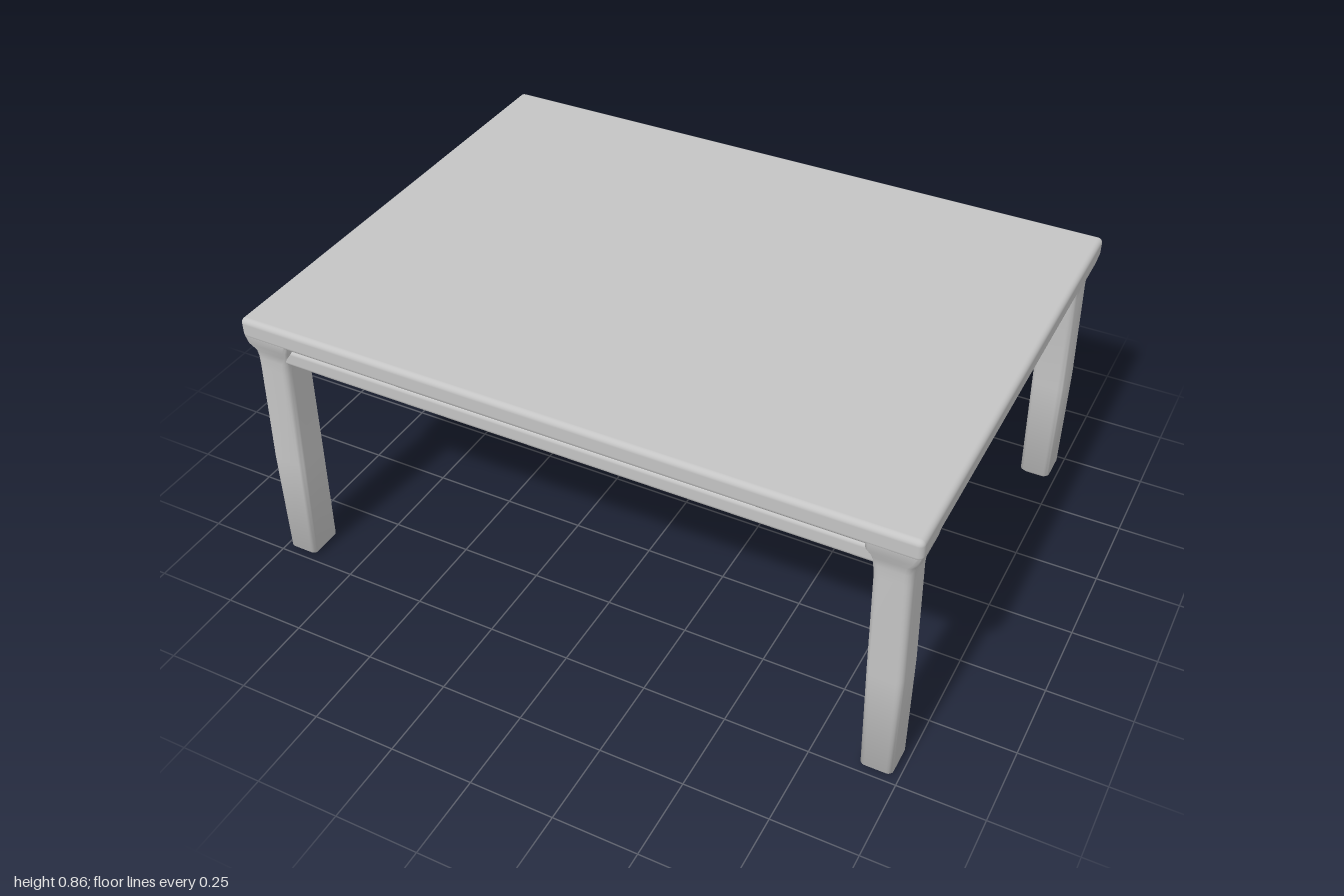
import * as THREE from 'three';
import { toCreasedNormals } from 'three/addons/utils/BufferGeometryUtils.js';
import { RoundedBoxGeometry } from 'three/addons/geometries/RoundedBoxGeometry.js';

// Leg sections for the +x +z corner: [y, inner x, outer x, inner z, outer z, corner radius]
const LEG = [
  [0, 0.898, 0.972, 0.632, 0.724, 0.012],
  [0.012, 0.888, 0.981, 0.622, 0.734, 0.016],
  [0.36, 0.88, 0.983, 0.621, 0.734, 0.018],
  [0.69, 0.873, 0.976, 0.62, 0.73, 0.02],
  [0.725, 0.868, 0.976, 0.614, 0.73, 0.02],
  [0.75, 0.86, 0.98, 0.605, 0.732, 0.02],
  [0.775, 0.85, 0.994, 0.595, 0.742, 0.018],
  [0.80, 0.85, 0.998, 0.595, 0.744, 0.012],
];

// Rounded rectangle ring at height y
function ring(y, x0, x1, z0, z1, r, sx, sz) {
  const points = [], steps = 4;
  const cx = sx * (x0 + x1) / 2, cz = sz * (z0 + z1) / 2;
  const hx = (x1 - x0) / 2 - r, hz = (z1 - z0) / 2 - r;
  const corners = [[1, 1], [-1, 1], [-1, -1], [1, -1]];
  corners.forEach(([kx, kz], c) => {
    for (let i = 0; i <= steps; i++) {
      const a = (c + i / steps) * Math.PI / 2;
      points.push([cx + kx * hx + r * Math.cos(a), y, cz + kz * hz + r * Math.sin(a)]);
    }
  });
  return points;
}

// Skin between the rings, closed at the foot
function legGeometry(sx, sz) {
  const rings = LEG.map((s) => ring(...s, sx, sz));
  const n = rings[0].length;
  const positions = rings.flat(2);
  const index = [];
  for (let j = 0; j < rings.length - 1; j++) {
    for (let i = 0; i < n; i++) {
      const a = j * n + i, b = j * n + (i + 1) % n;
      index.push(a, a + n, b, b, a + n, b + n);
    }
  }
  for (let i = 1; i < n - 1; i++) index.push(0, i, i + 1);
  const geometry = new THREE.BufferGeometry();
  geometry.setAttribute('position', new THREE.Float32BufferAttribute(positions, 3));
  geometry.setIndex(index);
  return toCreasedNormals(geometry, 0.9);
}

export function createModel() {
  const table = new THREE.Group();
  table.name = 'table';
  const paleGrey = new THREE.MeshStandardMaterial({ color: 0xc4c4c4 });
  paleGrey.name = 'paleGrey';

  const add = (name, geometry, x = 0, y = 0, z = 0) => {
    const mesh = new THREE.Mesh(geometry, paleGrey);
    mesh.name = name;
    mesh.position.set(x, y, z);
    table.add(mesh);
  };

  // Softly rounded slab
  add('tableTop', new RoundedBoxGeometry(2, 0.065, 1.49, 4, 0.016), 0, 0.8225, 0);

  for (const s of [1, -1]) {
    const end = s > 0 ? 'front' : 'back';
    const side = s > 0 ? 'left' : 'right';

    // Rails under the slab, with a shallow groove above each
    add(end + 'Apron', new RoundedBoxGeometry(1.80, 0.056, 0.075, 3, 0.014), 0, 0.752, s * 0.69);
    add(end + 'ApronNeck', new THREE.BoxGeometry(1.80, 0.04, 0.055), 0, 0.78, s * 0.685);
    add(side + 'Apron', new RoundedBoxGeometry(0.075, 0.056, 1.30, 3, 0.014), s * 0.935, 0.752, 0);
    add(side + 'ApronNeck', new THREE.BoxGeometry(0.055, 0.04, 1.30), s * 0.93, 0.78, 0);

    // Two tapered legs flaring into the slab corners
    for (const sx of [1, -1]) {
      add(end + (sx > 0 ? 'Left' : 'Right') + 'Leg', legGeometry(sx, s));
    }
  }
  return table;
}
